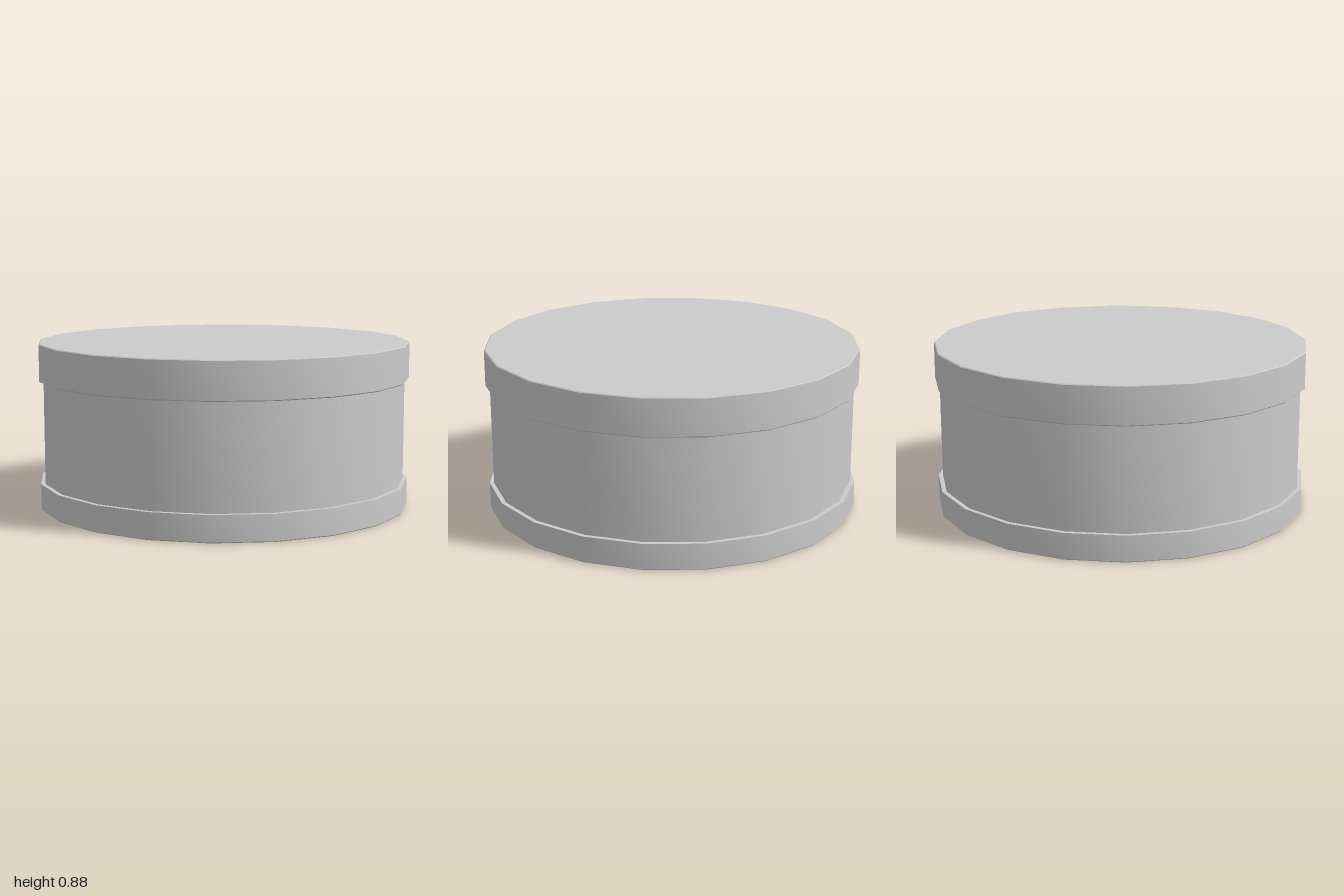
import * as THREE from 'three';
import { toCreasedNormals } from 'three/addons/utils/BufferGeometryUtils.js';

const SIDES = 20;

export function createModel() {
  const model = new THREE.Group();
  model.name = 'roundBox';
  const material = new THREE.MeshStandardMaterial({ color: 0xcccccc });

  // Closed disc with optional small chamfers on its bottom and top rims
  function addDisc(name, radius, bottom, top, bevelBottom = 0, bevelTop = 0) {
    const profile = [[0, bottom], [radius - bevelBottom, bottom]];
    if (bevelBottom) profile.push([radius, bottom + bevelBottom]);
    if (bevelTop) profile.push([radius, top - bevelTop]);
    profile.push([radius - bevelTop, top], [0, top]);
    const points = profile.map(([x, y]) => new THREE.Vector2(x, y));
    const geometry = toCreasedNormals(new THREE.LatheGeometry(points, SIDES), Math.PI / 6);
    const mesh = new THREE.Mesh(geometry, material);
    mesh.name = name;
    model.add(mesh);
  }

  // Base rim, slightly recessed wall and overhanging lid
  addDisc('base', 1, 0, 0.14, 0.005, 0);
  addDisc('wall', 0.977, 0.14, 0.685);
  addDisc('lid', 1, 0.685, 0.885, 0.005, 0.005);

  return model;
}
